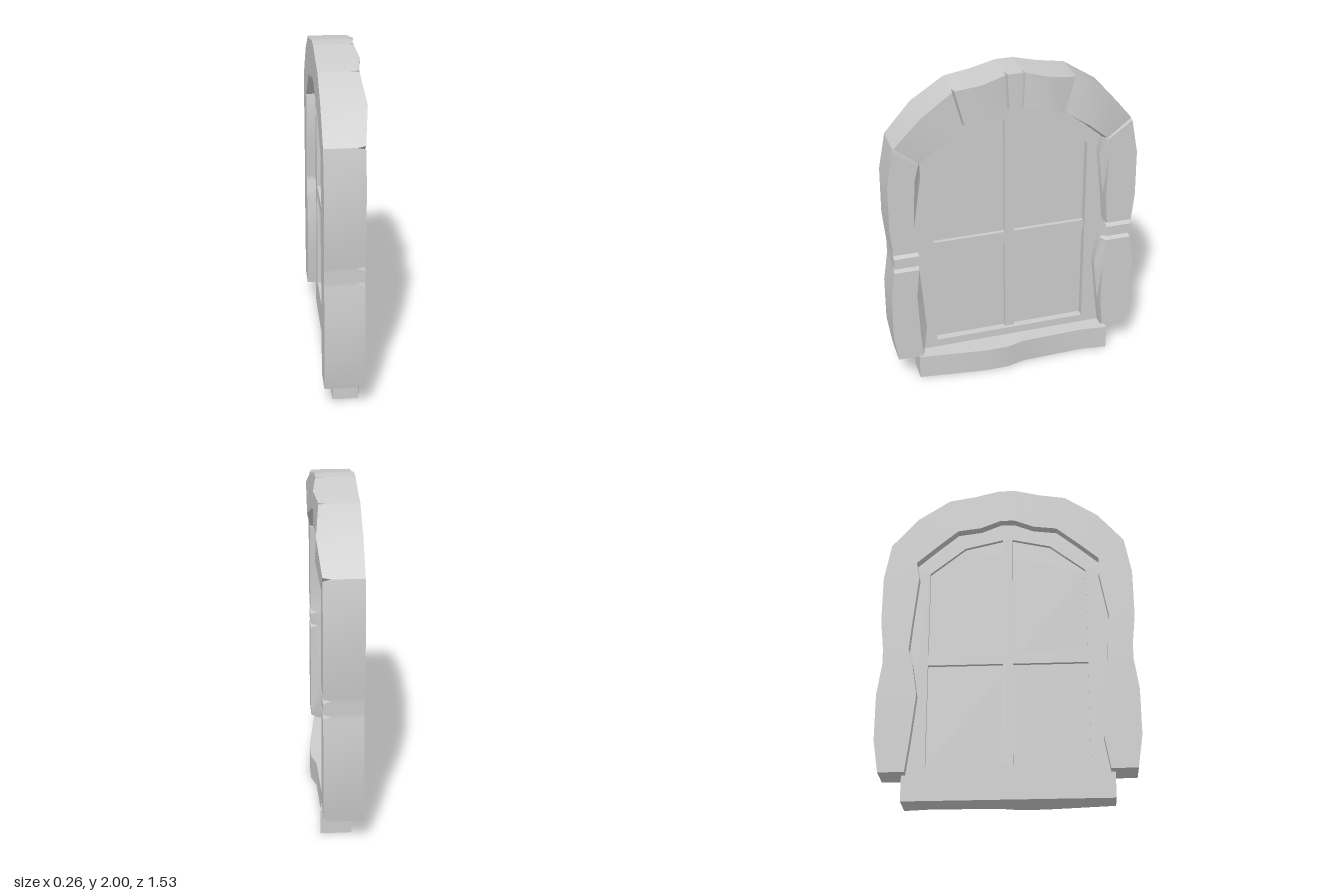
import * as THREE from 'three';
import { toCreasedNormals } from 'three/addons/utils/BufferGeometryUtils.js';

const BACK = -0.13, GROOVE = 0.05, FRONT = 0.1;

// Column levels: height, outer x, then inner x and inner slope for each side; gap marks a joint
const COLUMN = [
  { y: 0.155, outer: 0.738, inner: [0.585, 0.585], slope: [0, 0], gap: 0.025 },
  { y: 0.35, outer: 0.767, inner: [0.6, 0.565], slope: [0.05, 0.005] },
  { y: 0.63, outer: 0.766, inner: [0.61, 0.57], slope: [0.04, 0.04] },
  { y: 0.825, outer: 0.738, inner: [0.59, 0.585], slope: [0.005, 0.025], gap: 0.015 },
  { y: 0.92, outer: 0.738, inner: [0.588, 0.585], slope: [0, 0], gap: 0.015 },
  { y: 1.11, outer: 0.757, inner: [0.61, 0.572], slope: [0.005, 0.005] },
  { y: 1.4, outer: 0.754, inner: [0.597, 0.576], slope: [0.045, 0.04] },
];

// Half of the arch from springer to keystone: outer and inner points
const ARCH = [
  { outer: [0.712, 1.622], inner: [0.57, 1.512], slope: 0.02, gap: 0.01 },
  { outer: [0.555, 1.803], inner: [0.435, 1.63], slope: 0.02, bulge: 0.024 },
  { outer: [0.358, 1.932], inner: [0.303, 1.714], slope: 0, gap: 0.007 },
  { outer: [0.2, 1.958], inner: [0.165, 1.75], slope: 0.018, bulge: 0.02 },
  { outer: [0.052, 1.995], inner: [0.042, 1.78], slope: 0, gap: 0.007 },
];

// Stations of one half, from the ground up to the keystone
function halfPath(side) {
  const sign = side ? 1 : -1;
  const column = COLUMN.map(({ y, outer, inner, slope, gap }) =>
    ({ outer: [outer, y], inner: [inner[side], y], slope: slope[side], gap }));
  return [...column, ...ARCH].map(({ outer, inner, slope, gap = 0, bulge = 0 }) => ({
    outer: new THREE.Vector2(sign * outer[0], outer[1]),
    inner: new THREE.Vector2(sign * inner[0], inner[1]),
    slope, gap, front: FRONT + bulge,
  }));
}

// Edge of a stone: a station shifted from a joint towards its neighbour
function stoneEdge(joint, neighbour) {
  const t = joint.gap / joint.outer.distanceTo(neighbour.outer);
  return {
    outer: joint.outer.clone().lerp(neighbour.outer, t),
    inner: joint.inner.clone().lerp(neighbour.inner, t),
    slope: THREE.MathUtils.lerp(joint.slope, neighbour.slope, t),
    front: FRONT,
  };
}

// Replace every joint by stone edge, groove bottom, stone edge
function cutGrooves(path) {
  return path.flatMap((station, i) => {
    if (!station.gap) return [station];
    const before = path[i - 1], after = path[i + 1];
    return [
      ...(before ? [stoneEdge(station, before)] : []),
      { ...station, front: GROOVE + 0.003 },
      ...(after ? [stoneEdge(station, after)] : []),
    ];
  });
}

// Six-sided cross-section from outer back round the front to inner back
function section({ outer, inner, slope, front }) {
  const base = inner.clone().sub(outer).setLength(slope).add(inner);
  return [[outer, BACK], [outer, GROOVE], [outer, front],
    [inner, front], [base, GROOVE], [base, BACK]].map(([p, z]) => [p.x, p.y, z]);
}

function loft(sections) {
  const pos = [], n = sections[0].length;
  const tri = (a, b, c) => pos.push(...a, ...b, ...c);
  for (let i = 0; i < sections.length - 1; i++) {
    const p = sections[i], q = sections[i + 1];
    for (let k = 0; k < n; k++) {
      const m = (k + 1) % n;
      tri(p[k], p[m], q[m]);
      tri(p[k], q[m], q[k]);
    }
  }
  const first = sections[0], last = sections.at(-1);
  for (let k = 1; k < n - 1; k++) {
    tri(first[0], first[k + 1], first[k]);
    tri(last[0], last[k], last[k + 1]);
  }
  const geo = new THREE.BufferGeometry();
  geo.setAttribute('position', new THREE.Float32BufferAttribute(pos, 3));
  return toCreasedNormals(geo, 0.5);
}

const toPoints = list => list.map(([x, y]) => new THREE.Vector2(x, y));

// Symmetric outline from its right half, listed bottom to top
const mirrored = half => toPoints([...half, ...half.map(([x, y]) => [-x, y]).reverse()]);

function slab(points, z0, z1, hole) {
  const shape = new THREE.Shape(points);
  if (hole) shape.holes.push(new THREE.Path(hole));
  return new THREE.ExtrudeGeometry(shape, { depth: z1 - z0, bevelEnabled: false }).translate(0, 0, z0);
}

export function createModel() {
  const material = new THREE.MeshStandardMaterial({ color: 0xcccccc });
  const model = new THREE.Group();
  model.name = 'archedWindow';
  const add = (name, geometry) => {
    const mesh = new THREE.Mesh(geometry, material);
    mesh.name = name;
    model.add(mesh);
    return mesh;
  };

  // Stone columns and arch, up the left side and down the right
  const path = [...halfPath(0), ...halfPath(1).reverse()];
  add('stoneSurround', loft(cutGrooves(path).map(section)));

  // Window frame, panes and glazing bars
  const outline = mirrored([[0.61, 0.15], [0.62, 1.5], [0.42, 1.72], [0.2, 1.83], [0.03, 1.86]]);
  const opening = mirrored([[0.475, 0.205], [0.475, 1.45], [0.26, 1.622], [0.03, 1.675]]);
  add('windowFrame', slab(outline, -0.072, 0, opening));
  add('windowPanes', slab(opening, -0.05, -0.045));
  add('verticalBar', new THREE.BoxGeometry(0.06, 1.47, 0.05)).position.set(0, 0.94, -0.047);
  add('horizontalBar', new THREE.BoxGeometry(0.95, 0.07, 0.05)).position.set(0, 0.87, -0.047);

  // Sill with a wavy front edge, drawn in plan and raised to its height
  const plan = toPoints([[-0.61, 0.072], [-0.61, -0.08], [-0.45, -0.1], [-0.2, -0.13],
    [-0.05, -0.13], [0.05, -0.1], [0.45, -0.09], [0.61, -0.11], [0.61, 0.072]]);
  add('sill', toCreasedNormals(slab(plan, 0, 0.155).rotateX(-Math.PI / 2), 0.6));

  // The window looks along +x
  model.rotation.y = Math.PI / 2;
  const root = new THREE.Group();
  root.name = 'window';
  root.add(model);
  return root;
}
